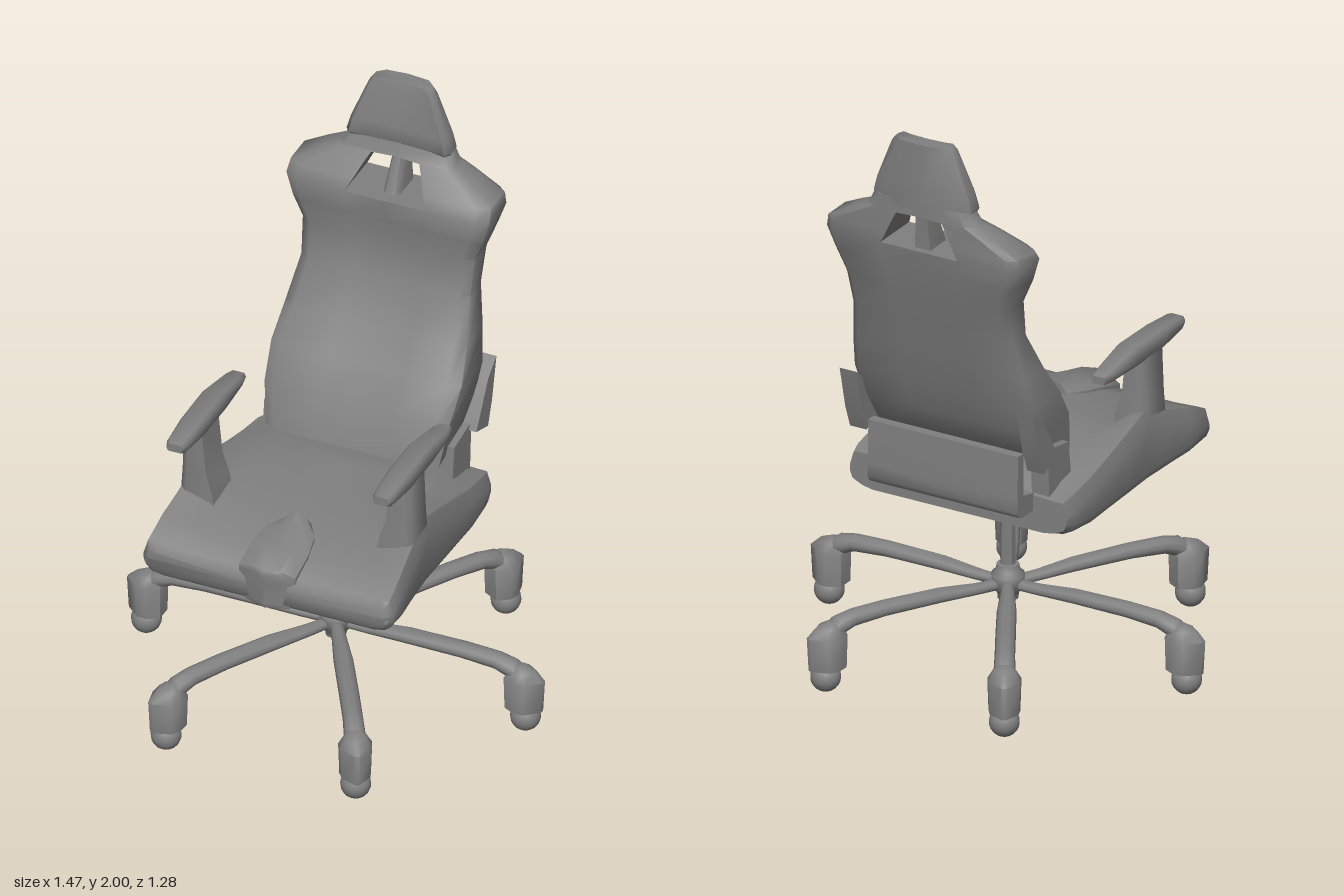
import * as THREE from 'three';
import { mergeGeometries, toCreasedNormals } from 'three/addons/utils/BufferGeometryUtils.js';

const material = new THREE.MeshStandardMaterial({ color: 0x808080 });

function add(parent, name, geometry, crease = 1) {
  const mesh = new THREE.Mesh(toCreasedNormals(geometry, crease), material);
  mesh.name = name;
  parent.add(mesh);
}

// Skin closed rings of [x, y, z] points and cap both ends; faces are turned outwards.
function loft(rings) {
  const n = rings[0].length, pos = rings.flat(2), idx = [];
  for (let i = 0; i < rings.length - 1; i++) {
    for (let j = 0; j < n; j++) {
      const a = i * n + j, b = i * n + (j + 1) % n;
      idx.push(a, b, b + n, a, b + n, a + n);
    }
  }
  [0, rings.length - 1].forEach((r) => {
    const c = pos.length / 3;
    for (let k = 0; k < 3; k++) pos.push(rings[r].reduce((s, p) => s + p[k], 0) / n);
    for (let j = 0; j < n; j++) {
      const a = r * n + j, b = r * n + (j + 1) % n;
      if (r === 0) idx.push(c, b, a); else idx.push(c, a, b);
    }
  });
  const v = (i) => new THREE.Vector3().fromArray(pos, i * 3);
  let volume = 0;
  for (let i = 0; i < idx.length; i += 3) volume += v(idx[i]).dot(v(idx[i + 1]).cross(v(idx[i + 2])));
  if (volume < 0) idx.reverse();
  const g = new THREE.BufferGeometry();
  g.setAttribute('position', new THREE.Float32BufferAttribute(pos, 3));
  g.setIndex(idx);
  return g;
}

// Complete half a ring by mirroring it in x.
const mirrored = (half) =>
  [...half, ...half.slice().reverse().filter((p) => p[0] > 1e-6).map(([x, y, z]) => [-x, y, z])];

// Side outline of [z, y] points, thickened between x0 and x1.
const plate = (points, x0, x1) => loft([x0, x1].map((x) => points.map(([z, y]) => [x, y, z])));

function buildBase() {
  const base = new THREE.Group();
  base.name = 'base';
  add(base, 'gasLift', new THREE.CylinderGeometry(0.024, 0.024, 0.42, 20).translate(0, 0.41, 0));
  const hub = [[0, 0.18], [0.034, 0.18], [0.036, 0.205], [0.052, 0.215], [0.055, 0.265], [0.04, 0.28], [0.036, 0.3], [0, 0.305]];
  add(base, 'hub', new THREE.LatheGeometry(hub.map(([x, y]) => new THREE.Vector2(x, y)), 16));

  // radius, centre height, half height, half width
  const sections = [[0.03, 0.232, 0.018, 0.02], [0.12, 0.234, 0.019, 0.025], [0.25, 0.242, 0.024, 0.032],
    [0.45, 0.243, 0.026, 0.033], [0.57, 0.236, 0.029, 0.033], [0.63, 0.217, 0.036, 0.035], [0.67, 0.185, 0.035, 0.035]];
  // Caster housing plan with a pointed outer end
  const plan = [[0.605, 0.032], [0.65, 0.055], [0.685, 0.05], [0.733, 0.008]];
  const outline = [...plan, ...plan.slice().reverse().map(([x, z]) => [x, -z])];
  for (let k = 0; k < 6; k++) {
    const leg = new THREE.Group();
    leg.name = 'baseLeg';
    leg.rotation.y = k * Math.PI / 3;
    add(leg, 'legArm', loft(sections.map(([r, y, h, w]) => Array.from({ length: 10 }, (_, i) => {
      const a = i * Math.PI / 5;
      return [r, y + h * Math.sin(a), w * Math.cos(a)];
    }))));
    add(leg, 'casterHousing', loft([[0.08, 0.93], [0.195, 1], [0.225, 0.65], [0.238, 0.3]].map(
      ([y, s]) => outline.map(([x, z]) => [0.64 + (x - 0.64) * s, y, z * s]))));
    add(leg, 'casterBall', new THREE.SphereGeometry(0.05, 18, 12).translate(0.668, 0.05, 0));
    base.add(leg);
  }
  return base;
}

function buildSeat() {
  const seat = new THREE.Group();
  seat.name = 'seat';
  // z, bottom, bottom half width, half width, bolster top, centre top
  const sections = [
    [0.54, 0.64, 0.40, 0.425, 0.715, 0.71], [0.52, 0.62, 0.41, 0.44, 0.74, 0.735],
    [0.42, 0.605, 0.39, 0.435, 0.78, 0.768], [0.33, 0.60, 0.38, 0.425, 0.81, 0.785],
    [0.19, 0.595, 0.37, 0.415, 0.858, 0.795], [0.08, 0.59, 0.37, 0.415, 0.825, 0.797],
    [-0.05, 0.585, 0.37, 0.415, 0.785, 0.80], [-0.16, 0.58, 0.37, 0.415, 0.755, 0.795],
    [-0.27, 0.59, 0.37, 0.413, 0.735, 0.75], [-0.31, 0.605, 0.36, 0.405, 0.725, 0.73]];
  add(seat, 'seatCushion', loft(sections.map(([z, b, wb, w, t, c]) => mirrored([
    [0, b, z], [wb - 0.04, b, z], [wb, b + 0.008, z], [w - 0.01, b + 0.025, z], [w, b + 0.05, z], [w, t - 0.05, z],
    [w - 0.015, t, z], [w - 0.045, t, z], [w - 0.13, c, z], [0, c, z]]))));
  // Pommel wrapping the middle of the front edge: z, bottom, shoulder height, top, half width, nose sweep
  add(seat, 'seatPommel', loft([
    [0.565, 0.64, 0.735, 0.755, 0.075, 0.025], [0.555, 0.622, 0.745, 0.768, 0.10, 0.025],
    [0.43, 0.63, 0.775, 0.788, 0.10, 0], [0.35, 0.68, 0.79, 0.808, 0.085, 0], [0.29, 0.72, 0.795, 0.825, 0.045, 0],
  ].map(([z, b, s, t, w, n]) => mirrored([[0, b, z], [w * 0.8, b, z - n], [w, s - 0.02, z - n],
    [w, s, z - n], [w * 0.5, t - 0.003, z - n / 2], [0, t, z]]))));
  return seat;
}

function buildBack() {
  const back = new THREE.Group();
  back.name = 'backrest';
  // half width, front y, front z, back y, back z, centre recess
  const sections = [
    [0.305, 0.83, -0.10, 0.87, -0.33, 0], [0.325, 0.97, -0.135, 0.98, -0.385, 0.012],
    [0.335, 1.08, -0.21, 1.08, -0.42, 0.016], [0.32, 1.19, -0.285, 1.2, -0.455, 0.016],
    [0.298, 1.33, -0.36, 1.34, -0.49, 0.016], [0.303, 1.46, -0.382, 1.46, -0.522, 0.012],
    [0.335, 1.54, -0.375, 1.55, -0.542, 0.004], [0.358, 1.62, -0.375, 1.62, -0.555, 0]];
  const cushion = loft(sections.map(([w, fy, fz, by, bz, r]) => mirrored([
    [0, fy, fz - r], [w * 0.4, fy, fz - r], [w * 0.88, fy, fz], [w, fy, fz - 0.025],
    [w, by, bz + 0.025], [w - 0.03, by, bz], [w * 0.4, by, bz], [0, by, bz]])));

  // Shoulders enclosing the two openings and meeting at the neck: y, inner x, outer x, front z
  const shoulder = [[1.62, 0.1432, 0.358, -0.375], [1.66, 0.123, 0.353, -0.40], [1.71, 0.10, 0.265, -0.435],
    [1.738, 0.085, 0.208, -0.456], [1.742, 0, 0.2, -0.459], [1.79, 0, 0.178, -0.475]];
  const shoulders = [1, -1].map((s) => loft(shoulder.map(([y, i, o, z]) => [
    [i * s, y, z], [o * 0.88 * s, y, z], [o * s, y, z - 0.025],
    [o * s, y, -0.53], [(o - 0.03) * s, y, -0.555], [i * s, y, -0.555]])));
  add(back, 'backCushion', mergeGeometries([cushion, ...shoulders]));
  add(back, 'openingDivider', loft([[1.6, 0.03, -0.41, -0.53], [1.75, 0.02, -0.475, -0.54]].map(
    ([y, w, f, b]) => mirrored([[w * 0.6, y, f], [w, y, f - 0.015], [w, y, b]]))));

  // y, half width, front z
  const head = [[1.765, 0.175, -0.48], [1.79, 0.183, -0.462], [1.84, 0.17, -0.468], [1.98, 0.115, -0.488], [2, 0.10, -0.495]];
  add(back, 'headrest', loft(head.map(([y, w, z]) => mirrored([
    [0, y, z - 0.01], [w * 0.65, y, z - 0.006], [w * 0.92, y, z], [w, y, z - 0.02],
    [w, y, -0.53], [w * 0.75, y, -0.553], [0, y, -0.56]]))));

  // Mounting hardware
  add(back, 'rearPanel', plate([[-0.30, 0.675], [-0.375, 0.675], [-0.395, 0.682], [-0.407, 0.70], [-0.408, 0.75],
    [-0.402, 0.90], [-0.37, 0.90], [-0.37, 0.735], [-0.30, 0.735]], -0.28, 0.28));
  for (const s of [1, -1]) {
    add(back, 'hingeBracket', plate([[-0.16, 0.72], [-0.30, 0.72], [-0.31, 0.90], [-0.18, 0.88]], s * 0.27, s * 0.335));
    add(back, 'sideCover', plate([[-0.29, 0.88], [-0.38, 0.85], [-0.41, 0.93], [-0.445, 1.08], [-0.38, 1.03]],
      s * 0.30, s * 0.362));
  }
  return back;
}

function buildArmrest(side) {
  const arm = new THREE.Group();
  arm.name = side > 0 ? 'leftArmrest' : 'rightArmrest';
  // y, inner x, outer x, front z, back z
  const post = [[0.76, 0.285, 0.408, 0.315, 0.175], [0.83, 0.295, 0.408, 0.313, 0.175],
    [0.90, 0.318, 0.405, 0.31, 0.178], [1.05, 0.332, 0.4, 0.308, 0.18]];
  add(arm, 'armPost', loft(post.map(([y, i, o, f, b]) => [
    [i, y, b], [i, y, f], [o - 0.02, y, f], [o, y, f - 0.015], [o, y, b + 0.015], [o - 0.02, y, b],
  ].map(([x, yy, z]) => [x * side, yy, z]))));
  // z, bottom, top, half width
  const pad = [[0.45, 1.056, 1.085, 0.028], [0.43, 1.048, 1.09, 0.034], [0.31, 1.036, 1.098, 0.041],
    [0.14, 1.034, 1.1, 0.041], [0, 1.034, 1.073, 0.034], [-0.045, 1.036, 1.062, 0.026]];
  add(arm, 'armPad', loft(pad.map(([z, b, t, w]) => [
    [-w * 0.8, b], [w * 0.8, b], [w, b + 0.012], [w, t - 0.012], [w * 0.75, t], [-w * 0.75, t], [-w, t - 0.012], [-w, b + 0.012],
  ].map(([x, y]) => [(0.364 + x) * side, y, z]))));
  return arm;
}

export function createModel() {
  const chair = new THREE.Group();
  chair.name = 'officeChair';
  chair.add(buildBase(), buildSeat(), buildBack(), buildArmrest(1), buildArmrest(-1));
  return chair;
}
